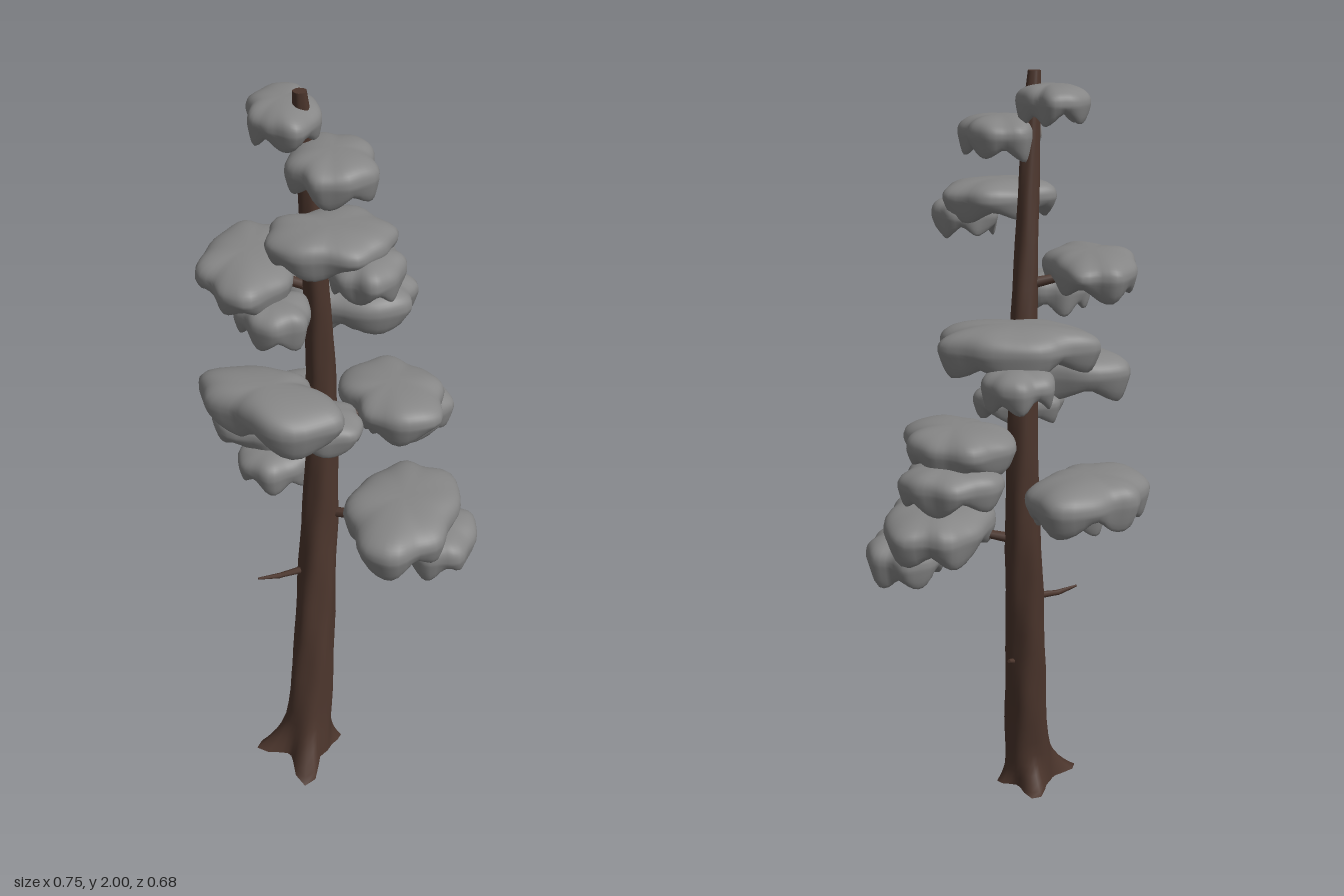
import * as THREE from 'three';
import { mergeVertices } from 'three/addons/utils/BufferGeometryUtils.js';

const bark = new THREE.MeshStandardMaterial({ name: 'bark', color: 0x4b352c });
const foliage = new THREE.MeshStandardMaterial({ name: 'foliage', color: 0x868686 });

// Trunk spine: height, centre x, centre z, radius
const SPINE = [
  [0, -0.08, 0.16, 0.072], [0.05, -0.076, 0.153, 0.068], [0.1, -0.072, 0.146, 0.064],
  [0.2, -0.067, 0.132, 0.06], [0.4, -0.061, 0.1, 0.055], [0.6, -0.057, 0.067, 0.052],
  [0.75, -0.054, 0.047, 0.049], [0.95, -0.05, 0.037, 0.043], [1.2, -0.049, 0.034, 0.038],
  [1.4, -0.053, 0.045, 0.034], [1.6, -0.061, 0.064, 0.029], [1.8, -0.067, 0.084, 0.025],
  [1.95, -0.074, 0.1, 0.02], [2, -0.077, 0.105, 0.016],
];
// Roots as offsets from the trunk foot: x, z
const ROOTS = [[0.04, 0.17], [-0.13, 0.05], [0.1, -0.045], [-0.01, -0.145]];

function spineAt(y) {
  let i = 0;
  while (i < SPINE.length - 2 && SPINE[i + 1][0] < y) i++;
  const a = SPINE[i], b = SPINE[i + 1];
  const t = (y - a[0]) / (b[0] - a[0]);
  return a.map((v, k) => v + (b[k] - v) * t);
}

function trunkGeometry() {
  const sides = 32, pos = [], index = [], rings = [];
  const heights = [0, 0.01, 0.025, 0.045, 0.07, 0.1, 0.14];
  for (let y = 0.2; y < 1.99; y += 0.06) heights.push(y);
  heights.push(2);
  for (const h of heights) {
    const [y, cx, cz, r0] = spineAt(h);
    const flare = Math.pow(Math.max(0, 1 - y / 0.14), 3);
    const ring = [];
    for (let j = 0; j < sides; j++) {
      const a = (j / sides) * Math.PI * 2;
      let r = r0 * (1 + 0.035 * Math.sin(5 * a + y * 9) + 0.025 * Math.sin(3 * a - y * 23));
      for (const [x, z] of ROOTS) {
        const c = Math.max(0, Math.cos(a - Math.atan2(z, x)));
        r += (Math.hypot(x, z) - 0.072) * Math.pow(c, 18) * flare;
      }
      ring.push([cx + r * Math.cos(a), y, cz + r * Math.sin(a)]);
    }
    rings.push(ring);
    pos.push(...ring.flat());
  }
  for (let i = 0; i < rings.length - 1; i++) {
    for (let j = 0; j < sides; j++) {
      const a = i * sides + j, b = i * sides + (j + 1) % sides;
      index.push(a, a + sides, b, b, a + sides, b + sides);
    }
  }
  // End caps with their own vertices, so the rims stay sharp
  for (const [ring, top] of [[rings[0], false], [rings[rings.length - 1], true]]) {
    const start = pos.length / 3;
    const [y, cx, cz] = spineAt(ring[0][1]);
    pos.push(...ring.flat(), cx, y, cz);
    for (let j = 0; j < sides; j++) {
      const a = start + j, b = start + (j + 1) % sides;
      index.push(start + sides, top ? b : a, top ? a : b);
    }
  }
  const g = new THREE.BufferGeometry();
  g.setAttribute('position', new THREE.Float32BufferAttribute(pos, 3));
  g.setIndex(index);
  g.computeVertexNormals();
  return g;
}

// Tapered limb between two points
function limb(name, from, to, r0, r1) {
  const a = new THREE.Vector3(...from), b = new THREE.Vector3(...to);
  const dir = b.clone().sub(a);
  const mesh = new THREE.Mesh(new THREE.CylinderGeometry(r1, r0, dir.length(), 7), bark);
  mesh.name = name;
  mesh.position.copy(a).add(b).multiplyScalar(0.5);
  mesh.quaternion.setFromUnitVectors(new THREE.Vector3(0, 1, 0), dir.normalize());
  return mesh;
}

// Lumpy cushion: domed top, lobed outline, drooping lobes around a hollow underside.
// skew above 0 stretches it along the +x+z diagonal, below 0 along the other one.
function padGeometry([x0, x1, y0, y1, z0, z1, skew], seed) {
  let s = seed * 7919 + 13;
  const rnd = () => (s = (s * 16807) % 2147483647) / 2147483647;
  for (let i = 0; i < 5; i++) rnd();
  const p = Array.from({ length: 5 }, () => rnd() * Math.PI * 2);
  const drops = 4 + Math.floor(rnd() * 2);
  let g = new THREE.SphereGeometry(1, 44, 28);
  g.deleteAttribute('uv');
  g.deleteAttribute('normal');
  g = mergeVertices(g, 1e-4);
  const v = g.attributes.position;
  for (let i = 0; i < v.count; i++) {
    const x = v.getX(i), y = v.getY(i), z = v.getZ(i);
    const a = Math.atan2(z, x), r = Math.min(1, Math.hypot(x, z));
    const outline = 1 + 0.04 * Math.cos(3 * a + p[0]) + 0.05 * Math.cos(5 * a + p[1])
      + 0.035 * Math.cos(8 * a + p[2]) + skew * Math.sin(2 * a);
    const full = Math.pow(r, y >= 0 ? 0.72 : 0.65) * outline;
    let h;
    if (y >= 0) {
      h = Math.pow(y, 0.8) * (0.95 + 0.14 * r * r * Math.cos(4 * a + p[3]));
    } else {
      const hang = Math.pow(0.5 + 0.5 * Math.cos(drops * a + p[4]), 0.7);
      const depth = 0.4 + 0.8 * hang + 0.15 * Math.cos(2 * a + p[1]);
      h = -Math.pow(-y, 0.6) * (0.35 + depth * Math.sin(Math.PI * r * r * r));
    }
    const k = r > 1e-4 ? full / r : 0;
    v.setXYZ(i, x * k, h, z * k);
  }
  // Fit to its box
  g.computeBoundingBox();
  const c = g.boundingBox.getCenter(new THREE.Vector3());
  const d = g.boundingBox.getSize(new THREE.Vector3());
  g.translate(-c.x, -c.y, -c.z);
  g.scale((x1 - x0) / d.x, (y1 - y0) / d.y, (z1 - z0) / d.z);
  g.translate((x0 + x1) / 2, (y0 + y1) / 2, (z0 + z1) / 2);
  g.computeVertexNormals();
  return g;
}

// Foliage as x, y and z ranges and skew: pads on branches, from the crown down
const PADS = [
  [-0.215, -0.03, 1.87, 1.97, -0.05, 0.19, 0.15],
  [-0.1, 0.115, 1.78, 1.89, 0.02, 0.26, 0.04],
  [-0.14, 0.155, 1.62, 1.725, 0.05, 0.3, -0.08],
  [-0.34, -0.1, 1.45, 1.565, -0.13, 0.245, 0.08],
  [-0.235, 0.165, 1.285, 1.415, -0.26, -0.01, 0.04],
  [-0.34, 0.05, 1.135, 1.275, 0.075, 0.34, 0.26],
  [-0.03, 0.26, 1.02, 1.14, -0.23, 0.075, 0.14],
  [-0.375, -0.05, 0.89, 1.025, -0.305, 0.03, -0.2],
  [0.02, 0.32, 0.74, 0.88, -0.13, 0.285, -0.05],
];
// Smaller clumps hanging under the pads
const CLUMPS = [
  [0.01, 0.185, 1.57, 1.675, 0.11, 0.315, 0],
  [-0.235, -0.05, 1.38, 1.49, 0.07, 0.24, 0],
  [-0.12, 0.06, 1.225, 1.33, -0.34, -0.11, 0],
  [-0.165, 0.08, 1.085, 1.18, 0.06, 0.245, 0.08],
  [0, 0.27, 0.945, 1.06, -0.275, -0.04, 0.05],
  [-0.285, -0.07, 0.83, 0.94, -0.1, 0.1, -0.08],
  [0.155, 0.37, 0.67, 0.795, -0.085, 0.175, 0.05],
];

export function createModel() {
  const tree = new THREE.Group();
  tree.name = 'tree';

  const trunk = new THREE.Mesh(trunkGeometry(), bark);
  trunk.name = 'trunk';
  tree.add(trunk);

  const addFoliage = (name, box, seed) => {
    const mesh = new THREE.Mesh(padGeometry(box, seed), foliage);
    mesh.name = name;
    tree.add(mesh);
  };
  CLUMPS.forEach((box, i) => addFoliage('foliageClump', box, i + 21));
  PADS.forEach((box, i) => {
    addFoliage('foliagePad', box, i + 1);
    // Branch from the trunk into the pad
    const y = box[2] + (box[3] - box[2]) * 0.5;
    const [h, x, z] = spineAt(y - 0.035);
    const end = [(box[0] + box[1]) / 2, y, (box[4] + box[5]) / 2];
    tree.add(limb('branch', [x, h, z], end, 0.016, 0.007));
  });

  // Dead twig and short stub on the bare trunk
  tree.add(limb('deadTwig', [-0.08, 0.597, 0.08], [-0.155, 0.59, 0.12], 0.011, 0.007));
  tree.add(limb('deadTwig', [-0.15, 0.59, 0.118], [-0.205, 0.597, 0.15], 0.008, 0.003));
  tree.add(limb('stub', [-0.05, 0.4, 0.09], [-0.015, 0.418, 0.042], 0.014, 0.005));
  return tree;
}
